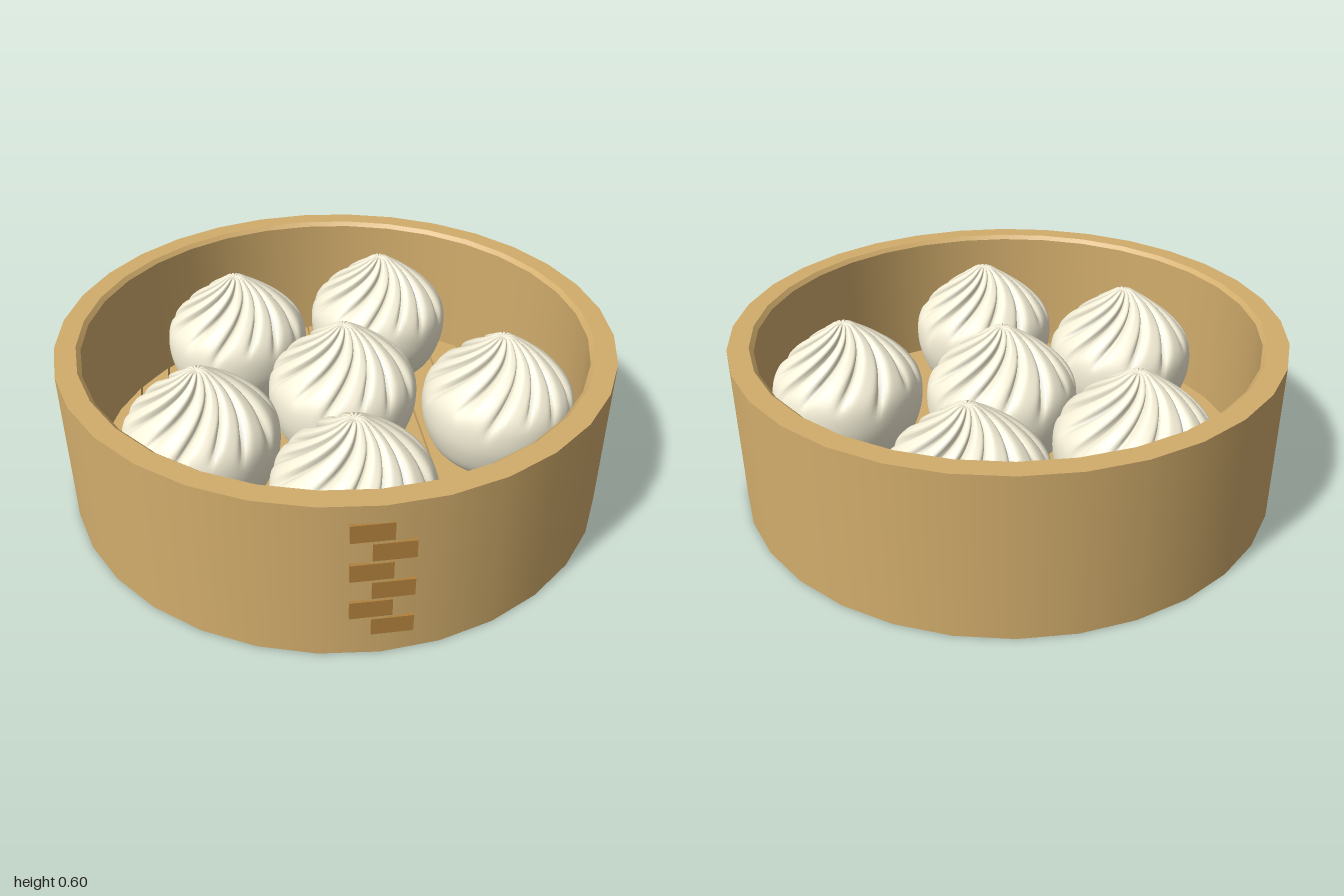
import * as THREE from 'three';
import { mergeGeometries, mergeVertices } from 'three/addons/utils/BufferGeometryUtils.js';

const SIDES = 32, INNER = 0.91, FLOOR = 0.08;
const bamboo = new THREE.MeshStandardMaterial({ color: 0xd2ad6c });
const binding = new THREE.MeshStandardMaterial({ color: 0xb0803c });
const dough = new THREE.MeshStandardMaterial({ color: 0xf6f0d8 });

function addMesh(parent, name, geometry, material) {
  const mesh = new THREE.Mesh(geometry, material);
  mesh.name = name;
  parent.add(mesh);
  return mesh;
}

// Hoop: one lathe band per profile edge, so corners stay sharp and walls smooth
function hoopGeometry() {
  const profile = [[1, 0], [1, 0.6], [0.925, 0.6], [INNER, 0.585], [INNER, 0], [1, 0]]
    .map(([r, y]) => new THREE.Vector2(r, y));
  const bands = [];
  for (let i = 0; i < profile.length - 1; i++) {
    bands.push(new THREE.LatheGeometry([profile[i], profile[i + 1]], SIDES));
  }
  return mergeGeometries(bands);
}

// Floor slat: slice of the inner polygon between two of its corner columns
function slatGeometry(from, to) {
  const gap = 0.004, near = [], far = [];
  for (let k = from; k <= to; k++) {
    const a = (k / SIDES) * Math.PI * 2;
    const inset = k === from ? gap : k === to ? -gap : 0;
    const x = INNER * Math.sin(a) + inset, z = INNER * Math.cos(a);
    near.push(new THREE.Vector2(x, z));
    if (Math.abs(z) > 1e-6) far.unshift(new THREE.Vector2(x, -z));
  }
  const geometry = new THREE.ExtrudeGeometry(new THREE.Shape([...near, ...far]),
    { depth: 0.055, bevelEnabled: false });
  return geometry.rotateX(Math.PI / 2).translate(0, FLOOR, 0);
}

// Bun: rounded body drawn up to a tip, with twisted pleats pressed into the top
function bunGeometry() {
  const curve = new THREE.SplineCurve([
    [0, 0.08], [0.14, 0.085], [0.225, 0.14], [0.27, 0.24], [0.28, 0.33], [0.263, 0.4],
    [0.21, 0.465], [0.13, 0.53], [0.065, 0.575], [0.03, 0.597], [0, 0.592],
  ].map(([r, y]) => new THREE.Vector2(r, y)));
  const points = curve.getPoints(48);
  points.forEach((p) => { p.x = Math.max(p.x, 0); });
  let geometry = new THREE.LatheGeometry(points, 143);
  geometry.deleteAttribute('uv');
  geometry.deleteAttribute('normal');
  geometry = mergeVertices(geometry, 1e-5);

  const pos = geometry.attributes.position, pleats = 13;
  for (let i = 0; i < pos.count; i++) {
    const x = pos.getX(i), y = pos.getY(i), z = pos.getZ(i);
    const r = Math.hypot(x, z), angle = Math.atan2(x, z);
    const t = THREE.MathUtils.clamp((y - 0.3) / 0.3, 0, 1);
    const phase = pleats * angle + 0.7 * Math.sin(3 * angle);
    const crease = Math.pow(1 - Math.abs(Math.sin(phase / 2)), 2.5);
    const reach = 0.12 + 0.12 * Math.sin(5 * angle + 1);
    const depth = THREE.MathUtils.smoothstep(t, reach, 0.85);
    const pressed = r * (1 - 0.3 * depth * crease);
    const turn = angle + 1.1 * t * t;
    pos.setXYZ(i, pressed * Math.sin(turn), y - 0.015 * depth * crease * Math.min(1, r / 0.1),
      pressed * Math.cos(turn));
  }
  geometry.computeVertexNormals();
  return geometry;
}

export function createModel() {
  const model = new THREE.Group();
  model.name = 'steamerBasketWithBuns';

  addMesh(model, 'basketHoop', hoopGeometry(), bamboo);

  // Slatted floor
  const floor = new THREE.Group();
  floor.name = 'slattedFloor';
  const edges = [-8, -5, -4, -3, -2, -1, 0, 1, 2, 3, 4, 5, 8];
  for (let i = 0; i < edges.length - 1; i++) {
    addMesh(floor, 'floorSlat', slatGeometry(edges[i], edges[i + 1]), bamboo);
  }
  model.add(floor);

  // Staggered binding stitches on the front
  const stitches = new THREE.Group();
  stitches.name = 'bindingStitches';
  const stitch = new THREE.BoxGeometry(0.134, 0.066, 0.04);
  for (let i = 0; i < 6; i++) {
    addMesh(stitches, 'bindingStitch', stitch, binding)
      .position.set(i % 2 ? 0.034 : -0.034, 0.502 - i * 0.077, 0.982);
  }
  model.add(stitches);

  // Six buns
  const buns = new THREE.Group();
  buns.name = 'buns';
  const bun = bunGeometry();
  const places = [[0.03, -0.02], [-0.34, -0.46], [0.26, -0.55],
    [-0.51, 0.21], [0.59, 0.14], [-0.02, 0.565]];
  for (const [x, z] of places) addMesh(buns, 'bun', bun, dough).position.set(x, 0, z);
  model.add(buns);

  return model;
}
